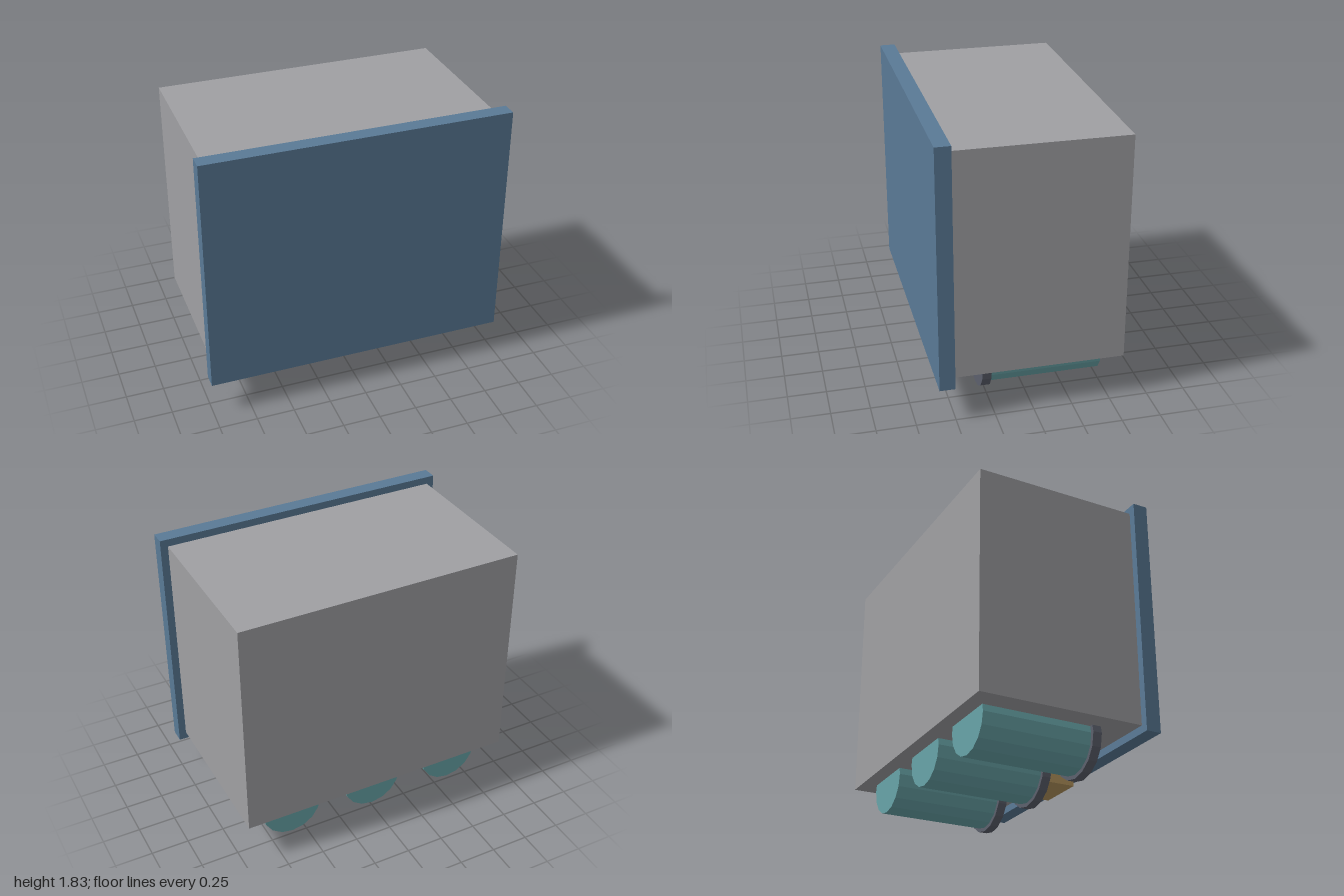
import * as THREE from 'three';

const mat = (name, color, flatShading = false) => {
  const m = new THREE.MeshStandardMaterial({ color, flatShading });
  m.name = name;
  return m;
};

export function createModel() {
  const group = new THREE.Group();
  const grey = mat('body grey', 0xa0a0a3);
  const blue = mat('panel blue', 0x5a7a96);
  const teal = mat('canister teal', 0x68a4a8, true);
  const dark = mat('collar dark grey', 0x5c606c, true);
  const tan = mat('tab tan', 0xb8975f);

  // Box given by its minimum and maximum corners
  const box = (name, material, [x0, y0, z0], [x1, y1, z1]) => {
    const mesh = new THREE.Mesh(new THREE.BoxGeometry(x1 - x0, y1 - y0, z1 - z0), material);
    mesh.position.set((x0 + x1) / 2, (y0 + y1) / 2, (z0 + z1) / 2);
    mesh.name = name;
    group.add(mesh);
  };

  // Sixteen-sided cylinder lying along z
  const barrel = (name, material, radius, x, z0, z1) => {
    const geometry = new THREE.CylinderGeometry(radius, radius, z1 - z0, 16).rotateX(Math.PI / 2);
    const mesh = new THREE.Mesh(geometry, material);
    mesh.position.set(x, 0.23, (z0 + z1) / 2);
    mesh.name = name;
    group.add(mesh);
  };

  // Main case and its overhanging front panel
  box('body', grey, [-0.95, 0.275, -0.6], [0.95, 1.775, 0.5]);
  box('frontPanel', blue, [-1, 0.225, 0.5], [1, 1.825, 0.6]);

  // Three canisters sunk into the underside, each with a collar
  [['right', -0.6], ['middle', 0], ['left', 0.6]].forEach(([side, x]) => {
    barrel(`${side}Canister`, teal, 0.205, x, -0.5, 0.23);
    barrel(`${side}Collar`, dark, 0.23, x, 0.23, 0.29);
  });

  // Tab in front of the middle collar
  box('tab', tan, [-0.165, 0.132, 0.29], [0.165, 0.21, 0.49]);

  return group;
}
